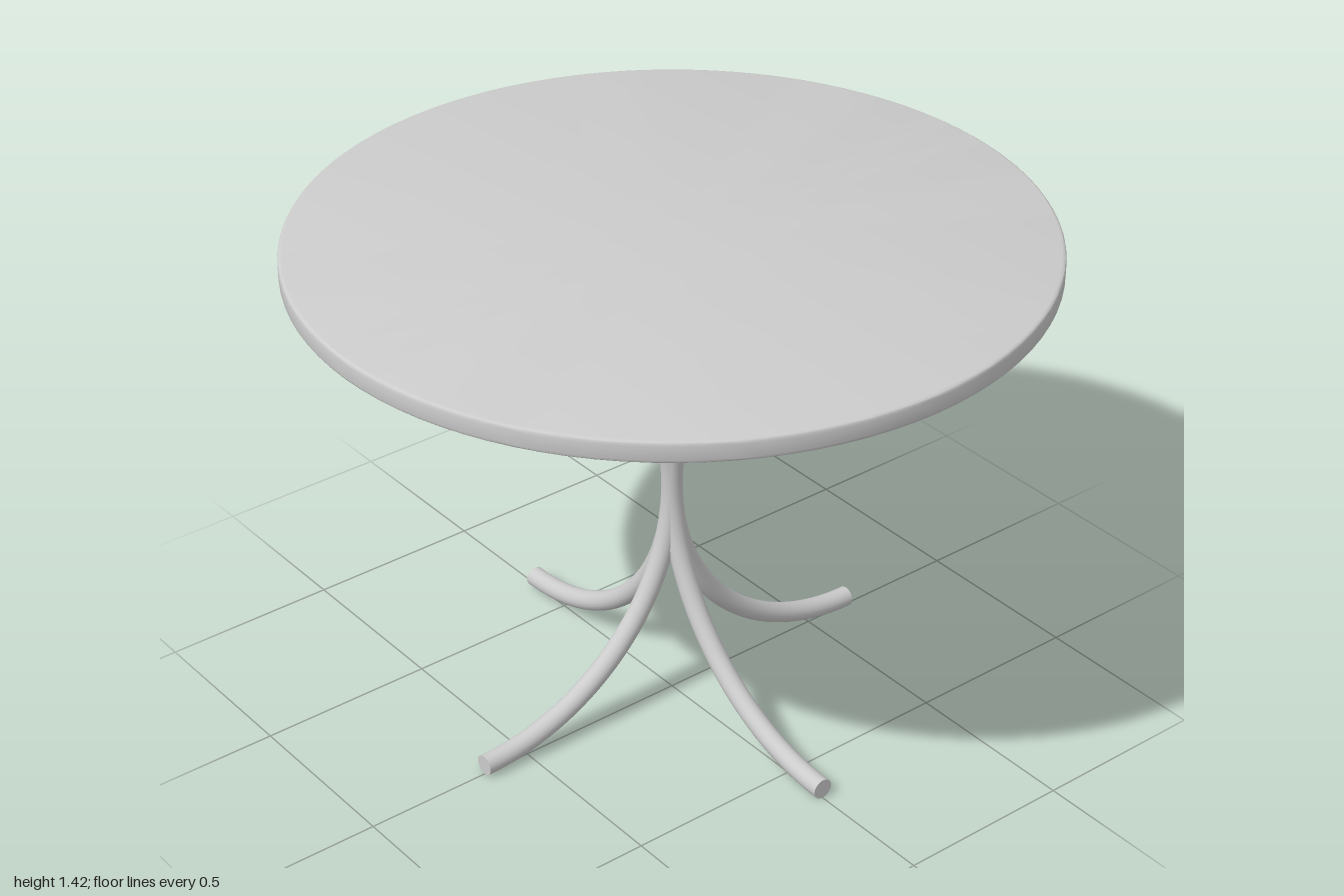
import * as THREE from 'three';
import { mergeGeometries, toCreasedNormals } from 'three/addons/utils/BufferGeometryUtils.js';

const material = new THREE.MeshStandardMaterial({ color: 0xcccccc });

// Round slab with softly rounded rims, turned from a half profile
function createTabletop(radius, bottom, top, rim) {
  const points = [new THREE.Vector2(0, bottom)];
  const steps = 4;
  for (const [cy, start] of [[bottom + rim, -Math.PI / 2], [top - rim, 0]]) {
    for (let i = 0; i <= steps; i++) {
      const a = start + (i / steps) * Math.PI / 2;
      points.push(new THREE.Vector2(radius - rim + rim * Math.cos(a), cy + rim * Math.sin(a)));
    }
  }
  points.push(new THREE.Vector2(0, top));
  const geometry = toCreasedNormals(new THREE.LatheGeometry(points, 96), Math.PI / 6);
  const mesh = new THREE.Mesh(geometry, material);
  mesh.name = 'tabletop';
  return mesh;
}

// Half-circle tube that touches the centre axis, closed with flat end caps
function createLegGeometry(bend, tube) {
  const arc = new THREE.TorusGeometry(bend, tube, 20, 64, Math.PI);
  arc.rotateZ(Math.PI / 2);
  const caps = [-1, 1].map((side) => {
    const cap = new THREE.CircleGeometry(tube, 20);
    cap.rotateY(Math.PI / 2);
    cap.translate(0, side * bend, 0);
    return cap;
  });
  const geometry = mergeGeometries([arc, ...caps]);
  geometry.translate(bend, bend + tube, 0);
  return geometry;
}

export function createModel() {
  const table = new THREE.Group();
  table.name = 'roundTable';
  table.add(createTabletop(1, 1.357, 1.416, 0.01));

  // Four curved legs crossing at the middle
  const base = new THREE.Group();
  base.name = 'base';
  const legGeometry = createLegGeometry(0.641, 0.029);
  ['leftLeg', 'backLeg', 'rightLeg', 'frontLeg'].forEach((name, i) => {
    const leg = new THREE.Mesh(legGeometry, material);
    leg.name = name;
    leg.rotation.y = i * Math.PI / 2;
    base.add(leg);
  });
  table.add(base);
  return table;
}
